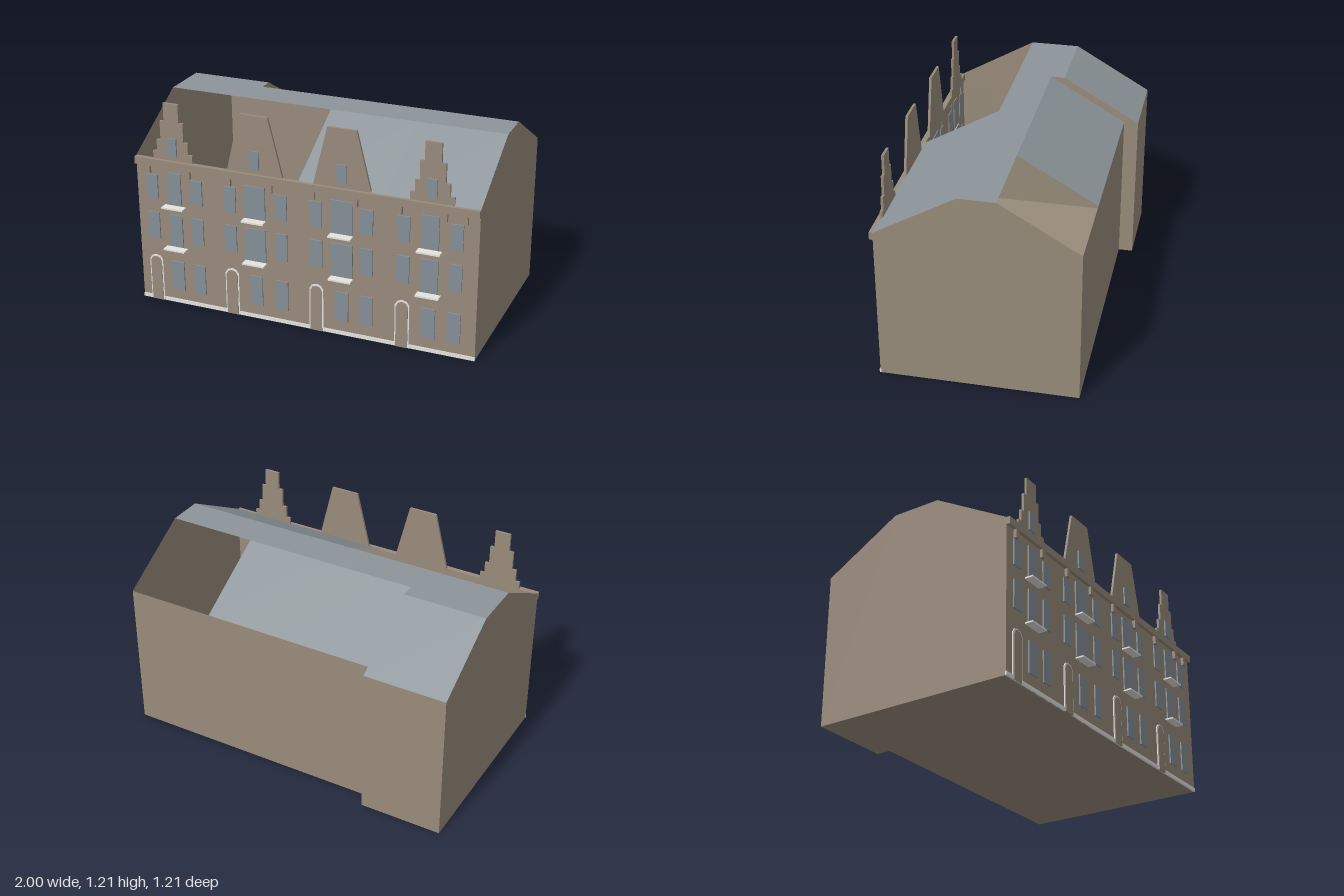
import * as THREE from 'three';

const mat = (name, color) => {
  const m = new THREE.MeshStandardMaterial({ color, side: THREE.DoubleSide });
  m.name = name;
  return m;
};

export function createModel() {
  const root = new THREE.Group();
  root.name = 'rowOfHouses';
  const brick = mat('brownBrick', 0x988b7b);
  const slate = mat('greySlate', 0x8d959a);
  const glass = mat('windowGlass', 0x858f96);
  const stone = mat('paleStone', 0xe4e3df);

  const add = (name, geo, material, parent = root) => {
    const m = new THREE.Mesh(geo, material);
    m.name = name;
    parent.add(m);
    return m;
  };
  const box = (name, x0, x1, y0, y1, z0, z1, material, parent) =>
    add(name, new THREE.BoxGeometry(x1 - x0, y1 - y0, z1 - z0)
      .translate((x0 + x1) / 2, (y0 + y1) / 2, (z0 + z1) / 2), material, parent);

  // The cross walls lean slightly in plan
  const lean = (x, z) => x - 0.011 * (z + 0.0);
  // Flat convex sheet from [x, y, z] corners
  const sheet = (name, pts, material, parent) => {
    const v = [];
    for (let i = 1; i < pts.length - 1; i++)
      for (const [x, y, z] of [pts[0], pts[i], pts[i + 1]]) v.push(lean(x, z), y, z);
    const g = new THREE.BufferGeometry();
    g.setAttribute('position', new THREE.Float32BufferAttribute(v, 3));
    g.computeVertexNormals();
    return add(name, g, material, parent);
  };
  const strip = (name, x0, x1, [za, ya], [zb, yb], material, parent) =>
    sheet(name, [[x0, ya, za], [x1, ya, za], [x1, yb, zb], [x0, yb, zb]], material, parent);

  // Shell: each house has a cross-section [z, y]; some roof slopes are open
  const EAVE = 0.875, RIDGE = 1.127, FRONT = 0.56;
  const profile = (ridgeBack, back) =>
    [[FRONT, 0], [FRONT, EAVE], [0.115, RIDGE], [ridgeBack, RIDGE], [back, EAVE], [back, 0]];
  const deep = profile(-0.167, -0.607), shallow = profile(-0.087, -0.525);
  const edges = [-0.993, -0.522, -0.015, 0.482, 0.991];
  for (let i = 0; i < 4; i++) {
    const p = i === 0 ? deep : shallow, x0 = edges[i], x1 = edges[i + 1];
    const house = new THREE.Group();
    house.name = 'houseShell' + (i + 1);
    root.add(house);
    strip('frontWall', x0, x1, p[0], p[1], brick, house);
    if (i > 1) strip('frontRoof', x0, x1, p[1], p[2], slate, house);
    strip('ridgeRoof', x0, x1, p[2], p[3], slate, house);
    if (i < 3) strip('backRoof', x0, x1, p[3], p[4], slate, house);
    strip('backWall', x0, x1, p[4], p[5], brick, house);
    strip('floor', x0, x1, p[5], p[0], brick, house);
  }
  const at = (x, p) => p.map(([z, y]) => [x, y, z]);
  sheet('leftEndWall', at(edges[0], deep).reverse(), brick);
  sheet('rightEndWall', at(edges[4], shallow), brick);
  // Wall closing the step between the deep house and its neighbour
  for (const k of [3, 4])
    sheet('stepWall', at(edges[1], [shallow[k], deep[k], deep[k + 1], shallow[k + 1]]), brick);

  // Cornice and brackets
  const L = -1, R = 0.985;
  box('cornice', L, R, 0.833, 0.875, 0.55, 0.58, brick);
  for (let i = 0; i < 9; i++) {
    const x = i < 8 ? -0.922 + 0.246 * i : 0.91;
    box('corniceBracket', x - 0.013, x + 0.013, 0.785, 0.834, 0.555, 0.577, brick);
  }

  const windowAt = (x, w, y0, y1) =>
    box('window', x - w / 2, x + w / 2, y0, y1, 0.555, 0.568, glass);
  const extrude = (name, pts, z, depth, material) => {
    const s = new THREE.Shape(pts.map(([x, y]) => new THREE.Vector2(x, y)));
    return add(name, new THREE.ExtrudeGeometry(s, { depth, bevelEnabled: false })
      .translate(0, 0, z), material);
  };
  // Door outline with a pointed, rounded head
  const doorOutline = (x, h, top) => [[x - h, 0], [x + h, 0], [x + h, top - 0.03],
    [x + h * 0.65, top - 0.008], [x, top], [x - h * 0.65, top - 0.008], [x - h, top - 0.03]];

  // Gable outlines as [half width, y], mirrored about the centre
  const stepped = [[0.12, 0.87], [0.12, 0.92], [0.095, 0.92], [0.095, 0.99], [0.07, 0.99],
    [0.07, 1.1], [0.045, 1.1], [0.045, 1.207]];
  const tapered = [[0.165, 0.87], [0.082, 1.207]];

  // Facade of each house: door, window columns, wide middle window, gable
  const houses = [
    { door: -0.905, mid: -0.767, right: -0.632, wide: 0.08, gable: -0.77, shape: stepped },
    { door: -0.428, mid: -0.28, right: -0.125, wide: 0.125, gable: -0.277, shape: tapered },
    { door: 0.08, mid: 0.228, right: 0.37, wide: 0.125, gable: 0.228, shape: tapered },
    { door: 0.575, mid: 0.722, right: 0.865, wide: 0.095, gable: 0.725, shape: stepped },
  ];
  let plinthStart = L;
  for (const { door, mid, right, wide, gable, shape } of houses) {
    extrude('doorSurround', doorOutline(door, 0.041, 0.283), 0.555, 0.011, stone);
    extrude('door', doorOutline(door, 0.034, 0.274), 0.56, 0.009, brick);
    box('plinth', plinthStart, door - 0.041, 0, 0.022, 0.555, 0.565, stone);
    plinthStart = door + 0.041;

    for (const x of [door, right]) {
      windowAt(x, 0.07, 0.63, 0.777);
      windowAt(x, 0.07, 0.388, 0.548);
    }
    windowAt(mid, wide, 0.612, 0.802);
    windowAt(mid, wide, 0.356, 0.55);
    windowAt(mid, 0.075, 0.085, 0.262);
    windowAt(right, 0.072, 0.085, 0.262);
    for (const y of [0.597, 0.342])
      box('balconySlab', mid - 0.065, mid + 0.065, y, y + 0.009, 0.555, 0.608, stone);

    const outline = [...shape.map(([h, y]) => [gable + h, y]),
      ...shape.map(([h, y]) => [gable - h, y]).reverse()];
    extrude('gable', outline, 0.546, 0.014, brick);
    box('gableWindow', gable - 0.028, gable + 0.028, 0.9, 1.008, 0.555, 0.569, glass);
  }
  box('plinth', plinthStart, R, 0, 0.022, 0.555, 0.565, stone);

  return root;
}
